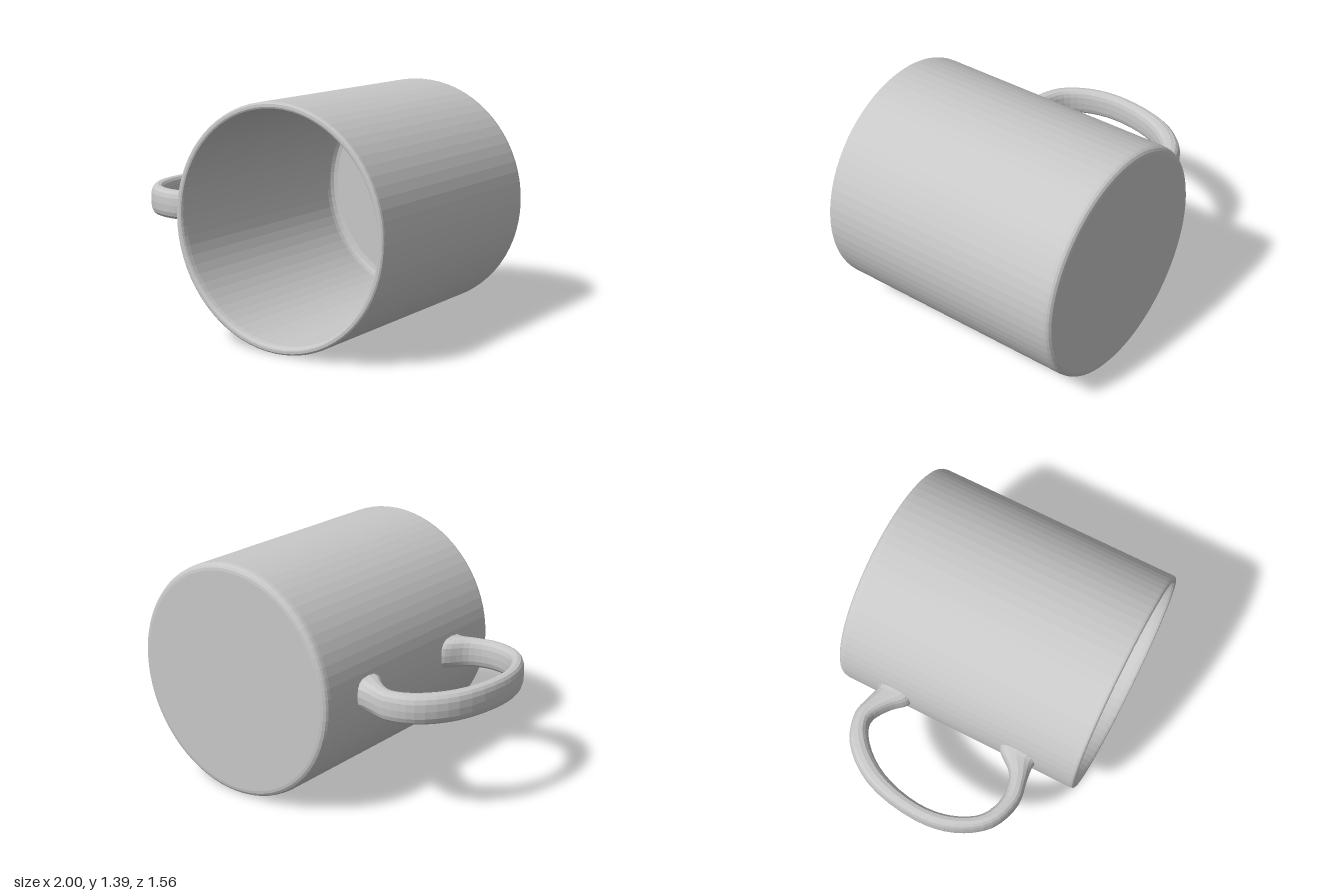
import * as THREE from 'three';

const CX = 0.303, CY = 0.7, SIDES = 72;

// Cup wall, rim, inside and floor as one profile of [radius, position along the axis]
function cupGeometry() {
  const profile = [
    [0, -0.78], [0.655, -0.78], [0.672, -0.777], [0.686, -0.768], [0.693, -0.755], [0.696, -0.735],
    [0.696, 0.762], [0.693, 0.773], [0.685, 0.779], [0.67, 0.78], [0.661, 0.776], [0.655, 0.765],
    [0.651, 0.74], [0.651, -0.67], [0.645, -0.695], [0.63, -0.713], [0.605, -0.72], [0, -0.72],
  ].map(([r, h]) => new THREE.Vector2(r, h));
  return new THREE.LatheGeometry(profile, SIDES).rotateX(Math.PI / 2);
}

// Handle lofted between an outer and an inner curve lying in the xz plane
function handleGeometry() {
  const curve = (pts) => new THREE.CatmullRomCurve3(pts.map(([x, z]) => new THREE.Vector3(x, CY, z)));
  const outer = curve([
    [-0.37, -0.51], [-0.41, -0.505], [-0.5, -0.525], [-0.6, -0.545], [-0.77, -0.49], [-0.93, -0.29],
    [-1, 0.06], [-0.96, 0.3], [-0.83, 0.485], [-0.64, 0.555], [-0.505, 0.535], [-0.41, 0.525], [-0.37, 0.535],
  ]);
  const inner = curve([
    [-0.37, -0.285], [-0.41, -0.305], [-0.48, -0.38], [-0.6, -0.445], [-0.72, -0.385], [-0.85, -0.21],
    [-0.915, 0.05], [-0.89, 0.25], [-0.8, 0.4], [-0.655, 0.455], [-0.505, 0.42], [-0.41, 0.31], [-0.37, 0.285],
  ]);
  const steps = 48, around = 16;
  const positions = [], index = [];
  const soften = (v) => Math.sign(v) * Math.abs(v) ** 0.75;
  for (let i = 0; i <= steps; i++) {
    const t = i / steps;
    const o = outer.getPoint(t), n = inner.getPoint(t);
    const center = o.clone().add(n).multiplyScalar(0.5);
    const half = o.sub(n).multiplyScalar(0.5);
    // Slightly wider where it meets the cup
    const width = 0.087 + 0.014 * Math.abs(2 * t - 1) ** 6;
    for (let j = 0; j < around; j++) {
      const a = (j / around) * Math.PI * 2;
      const p = center.clone().addScaledVector(half, soften(Math.cos(a)));
      positions.push(p.x, p.y + width * soften(Math.sin(a)), p.z);
    }
  }
  for (let i = 0; i < steps; i++) {
    for (let j = 0; j < around; j++) {
      const a = i * around + j, b = i * around + ((j + 1) % around);
      index.push(a, a + around, b, b, a + around, b + around);
    }
  }
  const geometry = new THREE.BufferGeometry();
  geometry.setAttribute('position', new THREE.Float32BufferAttribute(positions, 3));
  geometry.setIndex(index);
  geometry.computeVertexNormals();
  return geometry;
}

export function createModel() {
  const ceramic = new THREE.MeshStandardMaterial({ color: 0xc8c8c8, flatShading: true });
  ceramic.name = 'grey ceramic';

  const group = new THREE.Group();
  group.name = 'mug';

  const cup = new THREE.Mesh(cupGeometry(), ceramic);
  cup.name = 'cup';
  cup.position.set(CX, CY, 0);

  const handle = new THREE.Mesh(handleGeometry(), ceramic);
  handle.name = 'handle';

  group.add(cup, handle);
  return group;
}
